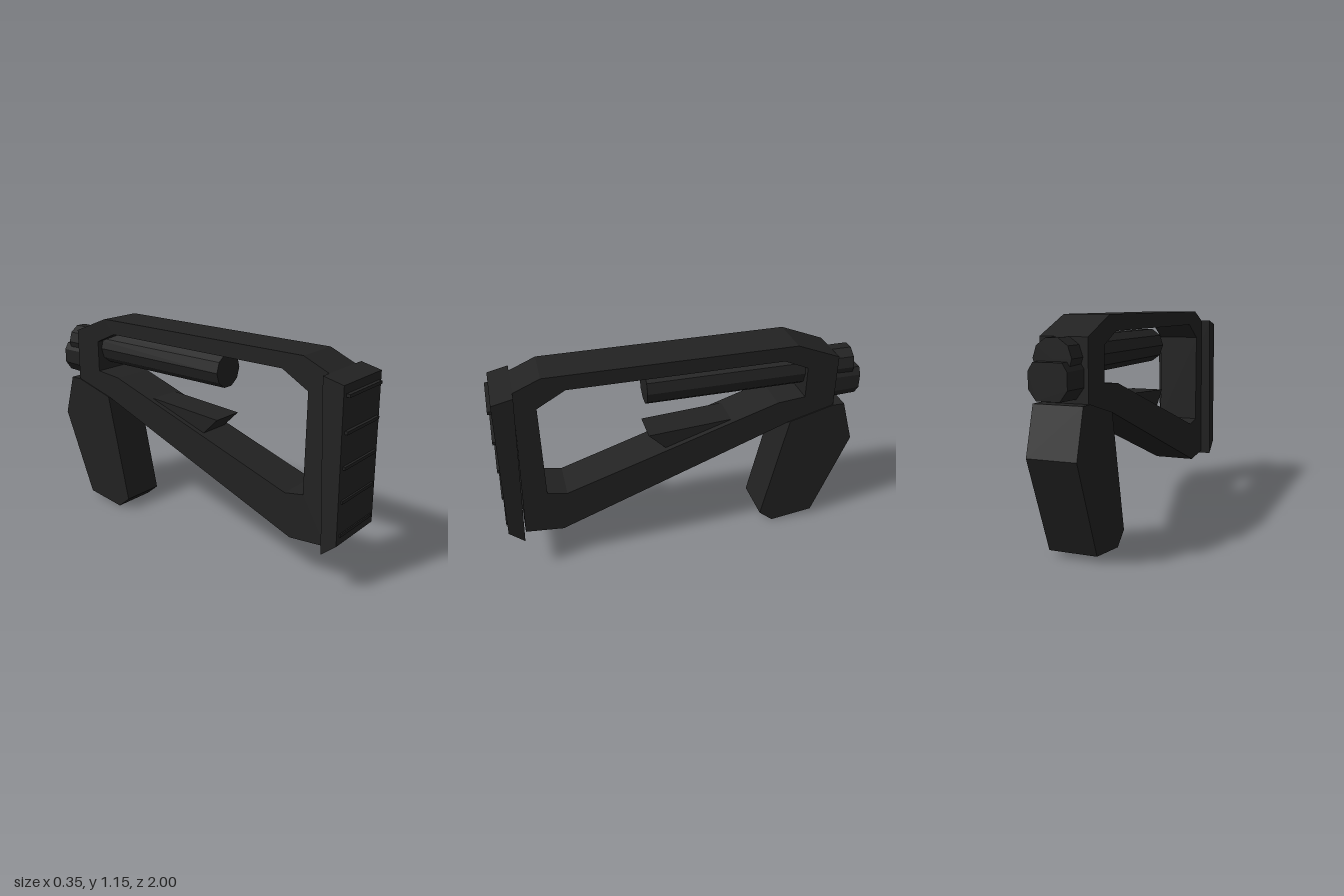
import * as THREE from 'three';

const black = new THREE.MeshStandardMaterial({ color: 0x222222, flatShading: true });
black.name = 'matte black';

const toPoints = (list) => list.map(([a, b]) => new THREE.Vector2(a, b));

// Extrudes a side profile of (z, y) points across the width, centred on x = 0.
function sidePlate(name, outline, width, hole) {
  const shape = new THREE.Shape(toPoints(outline));
  if (hole) shape.holes.push(new THREE.Path(toPoints(hole)));
  const geometry = new THREE.ExtrudeGeometry(shape, { depth: width, bevelEnabled: false });
  geometry.translate(0, 0, -width / 2).rotateY(-Math.PI / 2);
  return named(name, geometry);
}

function named(name, geometry) {
  const mesh = new THREE.Mesh(geometry, black);
  mesh.name = name;
  return mesh;
}

export function createModel() {
  const model = new THREE.Group();
  model.name = 'shoulderStock';

  // Open skeleton frame
  model.add(sidePlate('frame',
    [[0.905, 0.225], [0.87, 1.09], [0.73, 1.15], [-0.605, 1.15], [-0.845, 1.055],
      [-0.845, 0.75], [-0.595, 0.69], [0.7, 0.205]], 0.24,
    [[0.765, 0.985], [0.615, 1.07], [-0.535, 1.07], [-0.67, 1.01],
      [-0.67, 0.835], [-0.515, 0.82], [0.66, 0.44], [0.765, 0.46]]));

  // Shoulder pad with raised ridges
  model.add(sidePlate('shoulderPad',
    [[0.98, 1.065], [0.87, 1.09], [0.915, 0.207], [0.995, 0.277]], 0.35));
  for (const y of [1.015, 0.84, 0.668, 0.498, 0.325]) {
    const ridge = named('padRidge', new THREE.BoxGeometry(0.3, 0.016, 0.04));
    ridge.position.set(0, y, 0.98);
    model.add(ridge);
  }

  // Angled hand grip
  model.add(sidePlate('grip',
    [[-0.595, 0.69], [-0.455, 0.07], [-0.535, 0.003], [-0.78, 0.035],
      [-0.98, 0.52], [-0.91, 0.757], [-0.84, 0.757]], 0.25));

  // Wedge rest on the lower strut
  model.add(sidePlate('wedge',
    [[0.2, 0.71], [-0.26, 0.74], [-0.3, 0.65], [0.105, 0.615]], 0.18));

  // Ten-sided tube running through the rear of the frame
  const tube = new THREE.CylinderGeometry(0.095, 0.095, 1.155, 10);
  tube.rotateY(Math.PI / 2).rotateX(Math.PI / 2);
  const tubeMesh = named('tube', tube);
  tubeMesh.position.set(0, 0.965, -0.3775);
  model.add(tubeMesh);

  // Coupling block, chamfered below and narrowing slightly to the rear
  const section = toPoints([[-0.1, 0.83], [-0.06, 0.775], [0.06, 0.775],
    [0.1, 0.83], [0.1, 0.915], [0.075, 0.957], [-0.075, 0.957], [-0.1, 0.915]]);
  const block = new THREE.ExtrudeGeometry(new THREE.Shape(section), { depth: 0.2, bevelEnabled: false });
  block.translate(0, 0, -1);
  const p = block.attributes.position;
  for (let i = 0; i < p.count; i++) {
    if (p.getZ(i) < -0.9) p.setXY(i, p.getX(i) * 0.95, 0.87 + (p.getY(i) - 0.87) * 0.93);
  }
  block.computeVertexNormals();
  model.add(named('couplingBlock', block));

  return model;
}
